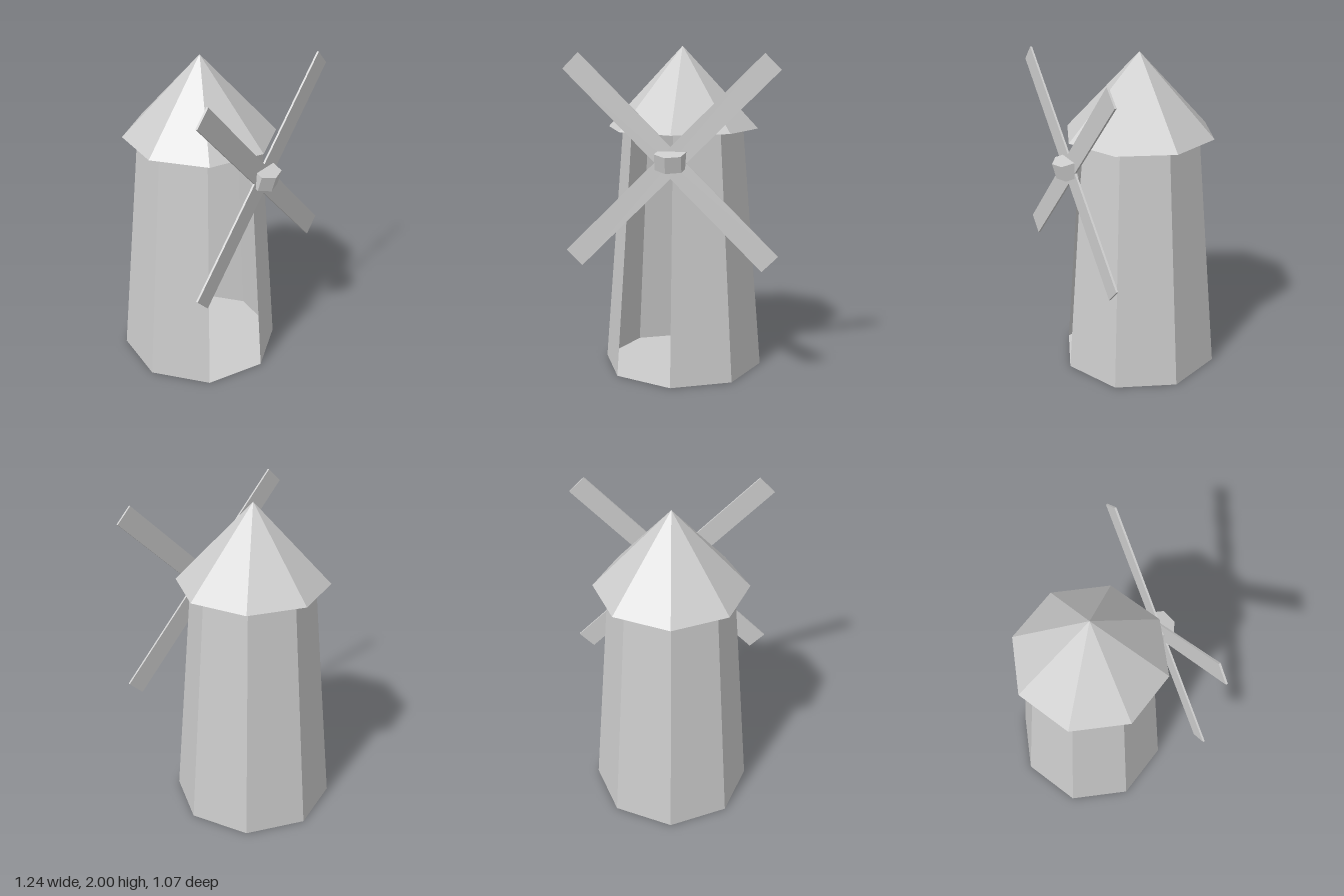
import * as THREE from 'three';

const AXIS_Z = -0.035; // tower axis

export function createModel() {
  const group = new THREE.Group();
  const grey = new THREE.MeshStandardMaterial({ color: 0xcccccc, flatShading: true, side: THREE.DoubleSide });
  grey.name = 'plain grey';

  const add = (name, geometry, x, y, z) => {
    const mesh = new THREE.Mesh(geometry, grey);
    mesh.name = name;
    mesh.position.set(x, y, z);
    group.add(mesh);
    return mesh;
  };

  // Tapered octagonal tower, with the front face on the -x side left open
  add('towerWalls', new THREE.CylinderGeometry(0.375, 0.5, 1.505, 7, 1, true, 0, Math.PI * 1.75), 0, 0.7525, AXIS_Z);
  add('towerFloor', new THREE.CircleGeometry(0.5, 8).rotateX(Math.PI / 2), 0, 0, AXIS_Z);

  // Eight-sided roof, closed underneath
  add('roof', new THREE.ConeGeometry(0.465, 0.495, 8), 0, 1.7525, AXIS_Z);

  // Two crossed planks make the four sails
  for (const side of [-1, 1]) {
    const sail = add('sailPlank', new THREE.BoxGeometry(1.626, 0.13, 0.012), 0, 1.35, 0.432);
    sail.rotation.z = side * Math.PI / 4;
  }

  // Tilted hexagonal hub
  const hub = new THREE.CylinderGeometry(0.077, 0.077, 0.097, 6, 1, false, THREE.MathUtils.degToRad(-13));
  hub.scale(1.22, 1, 1).rotateX(THREE.MathUtils.degToRad(15));
  add('hub', hub, 0.003, 1.363, 0.447);

  return group;
}
